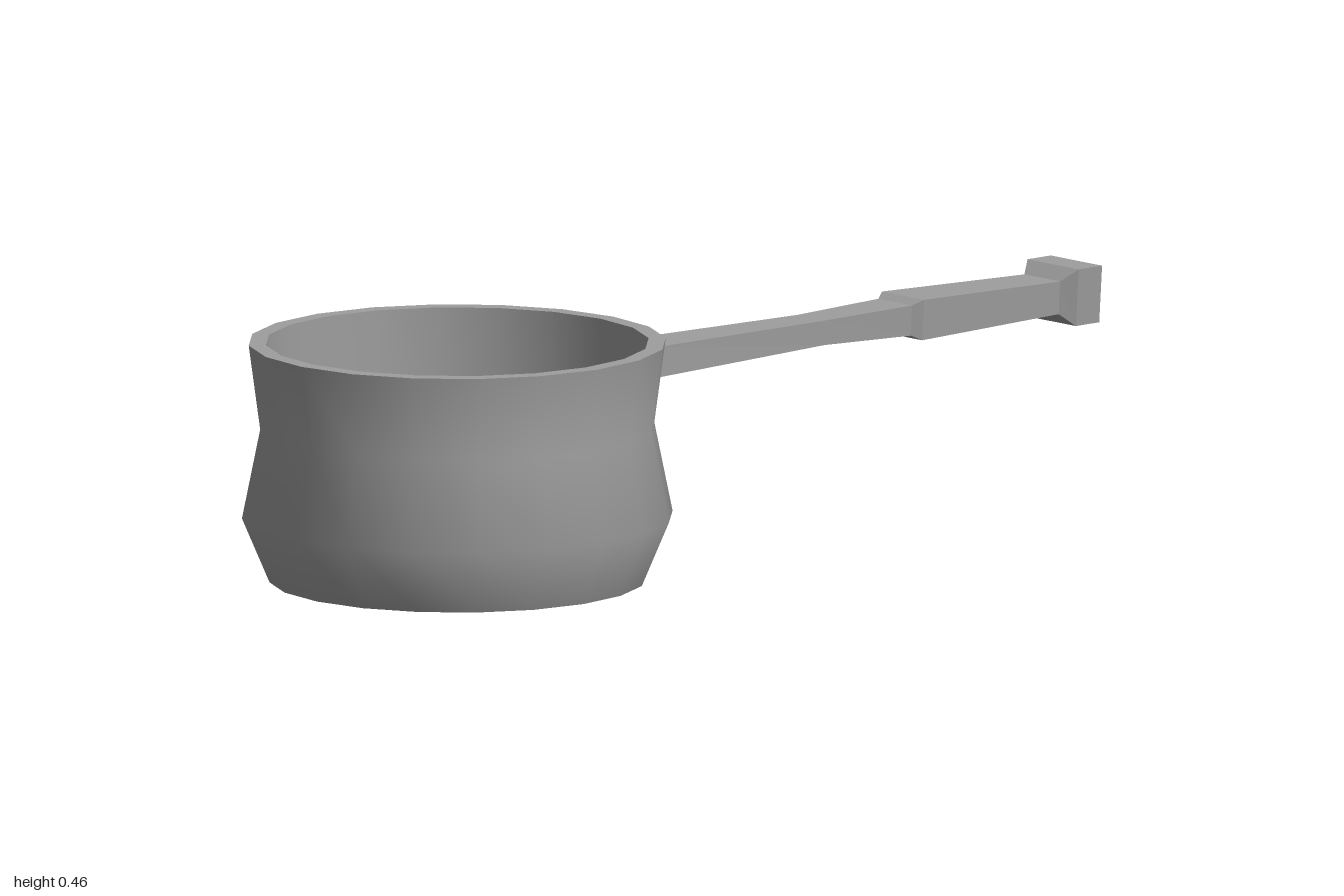
import * as THREE from 'three';
import { toCreasedNormals } from 'three/addons/utils/BufferGeometryUtils.js';

// Rectangular cross-sections [x, bottom y, top y, half depth, bottom width ratio] joined along x
function loftAlongX(sections) {
  const positions = [], index = [];
  for (const [x, y0, y1, h, taper] of sections) {
    const hb = h * taper;
    positions.push(x, y0, hb, x, y0, -hb, x, y1, -h, x, y1, h);
  }
  const last = (sections.length - 1) * 4;
  for (let i = 0; i < last; i += 4) {
    for (let j = 0; j < 4; j++) {
      const a = i + j, b = i + (j + 1) % 4;
      index.push(a, b, b + 4, a, b + 4, a + 4);
    }
  }
  index.push(0, 2, 1, 0, 3, 2, last, last + 1, last + 2, last, last + 2, last + 3);
  const geometry = new THREE.BufferGeometry();
  geometry.setAttribute('position', new THREE.Float32BufferAttribute(positions, 3));
  geometry.setIndex(index);
  const flat = geometry.toNonIndexed();
  flat.computeVertexNormals();
  return flat;
}

export function createModel() {
  const group = new THREE.Group();
  group.name = 'saucepan';
  const color = 0x9e9e9e;

  // Pot: base, belly, waist, rim, then the straight inner wall and floor
  const profile = [
    [0, 0], [0.36, 0], [0.413, 0.125], [0.378, 0.297], [0.4, 0.46],
    [0.367, 0.46], [0.367, 0.025], [0, 0.025],
  ].map(([r, y]) => new THREE.Vector2(r, y));
  const pot = new THREE.Mesh(
    toCreasedNormals(new THREE.LatheGeometry(profile, 20), 0.75),
    new THREE.MeshStandardMaterial({ color })
  );
  pot.name = 'pot';
  pot.position.x = -0.588;
  group.add(pot);

  // Handle: flared root, slim neck, thicker grip and end knob
  const handle = new THREE.Mesh(
    loftAlongX([
      [-0.214, 0.338, 0.4, 0.119, 1],
      [-0.135, 0.34, 0.4, 0.052, 1],
      [0.32, 0.348, 0.396, 0.04, 0.95],
      [0.535, 0.341, 0.4, 0.048, 0.93],
      [0.555, 0.331, 0.41, 0.06, 0.92],
      [0.912, 0.337, 0.401, 0.051, 0.92],
      [0.94, 0.313, 0.424, 0.073, 0.89],
      [1, 0.313, 0.424, 0.073, 0.89],
    ]),
    new THREE.MeshStandardMaterial({ color, flatShading: true })
  );
  handle.name = 'handle';
  group.add(handle);

  return group;
}
